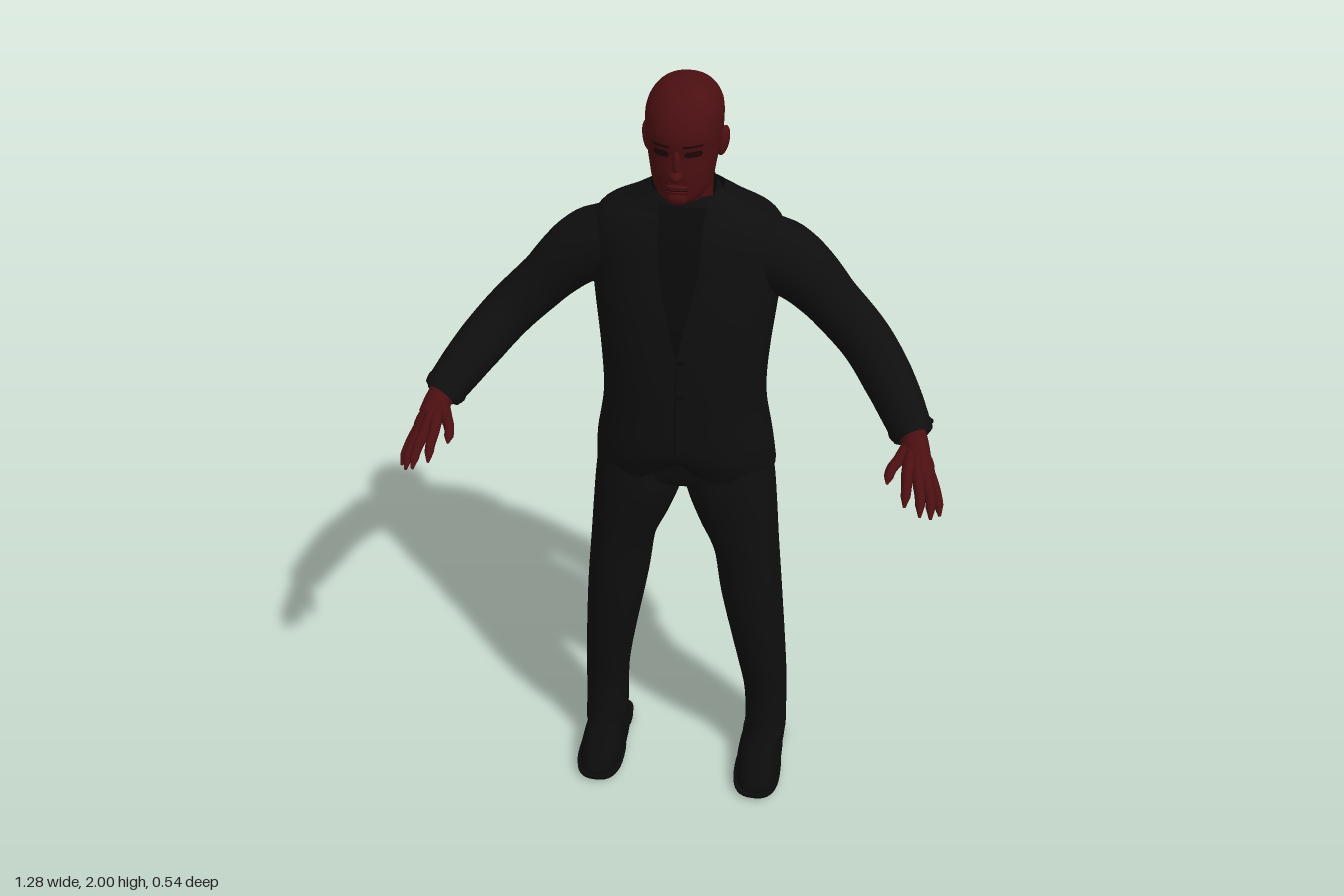
import * as THREE from 'three';

const mat = (name, color, side = THREE.DoubleSide) => {
  const m = new THREE.MeshStandardMaterial({ color, side });
  m.name = name;
  return m;
};

// Smooth extra rings between the given ones. Ring: [y, halfWidth, zFront, zBack, xCentre]
function sample(rings, steps = 5) {
  const out = [], last = rings.length - 1;
  for (let i = 0; i < last; i++) {
    const [a, b, c, d] = [Math.max(i - 1, 0), i, i + 1, Math.min(i + 2, last)].map(k => rings[k]);
    for (let s = 0; s < steps; s++) {
      const t = s / steps;
      out.push([0, 1, 2, 3, 4].map(k => {
        const [p, q, r, w] = [a, b, c, d].map(v => v[k] || 0);
        return q + 0.5 * t * (r - p + t * (2 * p - 5 * q + 4 * r - w + t * (3 * (q - r) + w - p)));
      }));
    }
  }
  out.push([0, 1, 2, 3, 4].map(k => rings[last][k] || 0));
  return out;
}

// Skin over stacked horizontal superellipses, listed from bottom to top
function loft(rings, n = 2.4, caps = true, tweak = null, seg = 36) {
  const pos = [], idx = [], R = rings.length;
  const pw = v => Math.sign(v) * Math.abs(v) ** (2 / n);
  for (const [y, hx, zf, zb, cx = 0] of rings) for (let j = 0; j < seg; j++) {
    const a = j / seg * Math.PI * 2, c = Math.cos(a), s = Math.sin(a);
    const p = new THREE.Vector3(cx + hx * pw(c), y, (zf + zb) / 2 + (zf - zb) / 2 * pw(s));
    if (tweak) tweak(p, s);
    pos.push(p.x, p.y, p.z);
  }
  for (let i = 0; i < R - 1; i++) for (let j = 0; j < seg; j++) {
    const a = i * seg + j, b = i * seg + (j + 1) % seg;
    idx.push(a, a + seg, b, b, a + seg, b + seg);
  }
  if (caps) for (const i of [0, R - 1]) {
    const [y, , zf, zb, cx = 0] = rings[i], c = pos.length / 3;
    pos.push(cx, y, (zf + zb) / 2);
    for (let j = 0; j < seg; j++) {
      const a = i * seg + j, b = i * seg + (j + 1) % seg;
      idx.push(c, ...(i ? [b, a] : [a, b]));
    }
  }
  return finish(pos, idx);
}

function finish(pos, idx) {
  const g = new THREE.BufferGeometry();
  g.setAttribute('position', new THREE.Float32BufferAttribute(pos, 3));
  g.setIndex(idx);
  g.computeVertexNormals();
  return g;
}

// Front surface depth of a loft at x, y
function frontZ(rings, x, y, n) {
  let i = rings.findIndex(r => r[0] >= y);
  i = Math.max(i, 1);
  const a = rings[i - 1], b = rings[i], t = (y - a[0]) / (b[0] - a[0]);
  const [, hx, zf, zb] = a.map((v, k) => v + (b[k] - v) * t);
  return (zf + zb) / 2 + (zf - zb) / 2 * Math.max(0, 1 - Math.abs(x / hx) ** n) ** (1 / n);
}

// Thin cloth or face detail laid on a front surface. Row: [y, x0, x1]
function strip(rings, n, rows, off, s = 1, cols = 6, sub = 6) {
  const pos = [], idx = [], N = (rows.length - 1) * sub;
  for (let i = 0; i <= N; i++) {
    const k = Math.min(Math.floor(i / sub), rows.length - 2), t = i / sub - k;
    const [y, x0, x1] = rows[k].map((v, q) => v + (rows[k + 1][q] - v) * t);
    for (let j = 0; j <= cols; j++) {
      const x = s * (x0 + (x1 - x0) * j / cols);
      pos.push(x, y, frontZ(rings, x, y, n) + off);
    }
  }
  for (let i = 0; i < N; i++) for (let j = 0; j < cols; j++) {
    const a = i * (cols + 1) + j, b = a + cols + 1;
    idx.push(...(s > 0 ? [a, b, a + 1, a + 1, b, b + 1] : [a, a + 1, b, a + 1, b + 1, b]));
  }
  return finish(pos, idx);
}

// Tube whose radius follows a list along its length
function limb(points, radii, s, steps = 24, seg = 16) {
  const curve = new THREE.CatmullRomCurve3(points.map(([x, y, z]) => new THREE.Vector3(s * x, y, z)));
  const g = new THREE.TubeGeometry(curve, steps, 1, seg), p = g.attributes.position;
  const v = new THREE.Vector3();
  for (let i = 0; i <= steps; i++) {
    const f = i / steps * (radii.length - 1), k = Math.min(Math.floor(f), radii.length - 2);
    const r = radii[k] + (radii[k + 1] - radii[k]) * (f - k), c = curve.getPointAt(i / steps);
    for (let j = 0; j <= seg; j++) {
      const q = i * (seg + 1) + j;
      v.fromBufferAttribute(p, q).sub(c).multiplyScalar(r).add(c);
      p.setXYZ(q, v.x, v.y, v.z);
    }
  }
  return g;
}

export function createModel() {
  const model = new THREE.Group();
  const skin = mat('skin', 0x4a0f11), shade = mat('skin shadow', 0x1e0607);
  const suit = mat('suit cloth', 0x0e0e0e), dark = mat('shirt and tie', 0x0a0a0b);
  const leather = mat('shoe leather', 0x0b0b0b);
  const add = (name, geo, m) => {
    const mesh = new THREE.Mesh(geo, m);
    mesh.name = name;
    model.add(mesh);
    return mesh;
  };
  const ball = (name, m, p, sc) => {
    const b = add(name, new THREE.SphereGeometry(1, 20, 14), m);
    b.position.set(...p);
    b.scale.set(...sc);
    return b;
  };

  // Head and neck
  const head = sample([[1.742, .03, .015, -.06], [1.755, .05, .03, -.11], [1.78, .066, .034, -.142],
    [1.82, .074, .038, -.16], [1.86, .081, .036, -.18], [1.9, .085, .04, -.19], [1.94, .083, .026, -.188],
    [1.97, .068, .002, -.17], [1.99, .043, -.03, -.138], [2, .004, -.078, -.09]]);
  add('head', loft(head, 2.15), skin);
  add('neck', loft(sample([[1.64, .065, -.03, -.16], [1.71, .06, -.045, -.15], [1.8, .064, -.04, -.148]])), skin);
  ball('nose bridge', skin, [0, 1.845, .038], [.009, .032, .014]);
  ball('nose tip', skin, [0, 1.822, .046], [.015, .012, .019]);
  ball('chin', skin, [0, 1.762, .022], [.024, .017, .016]);
  for (const y of [1.792, 1.781]) ball('lip', skin, [0, y, .032], [.024, .006, .01]);
  add('mouth line', strip(head, 2.15, [[1.785, -.024, .024], [1.788, -.024, .024]], .008), shade);

  // Jacket body, with the hem cut away at the front
  const coat = sample([[.99, .225, .035, -.265], [1.08, .216, .062, -.25], [1.2, .197, .062, -.242],
    [1.32, .201, .056, -.255], [1.46, .216, .038, -.267], [1.56, .226, .015, -.268], [1.62, .226, 0, -.258],
    [1.665, .2, -.018, -.243], [1.695, .14, -.035, -.222], [1.73, .084, -.05, -.19]]);
  add('jacket', loft(coat, 2.4, false, (p, s) => {
    if (s > 0 && p.y < 1.1) p.y += (1.1 - p.y) * .6 * Math.max(0, 1 - Math.abs(p.x) / .12);
  }, 48), suit);
  const on = (name, rows, off, m, s = 1) => add(name, strip(coat, 2.4, rows, off, s), m);
  on('shirt front', [[1.37, -.003, .003], [1.56, -.045, .045], [1.71, -.055, .055]], .003, dark);
  on('tie', [[1.38, -.004, .004], [1.44, -.02, .02], [1.65, -.011, .011], [1.66, -.018, .018], [1.695, -.022, .022]], .007, dark);
  on('jacket seam', [[1.06, -.002, .002], [1.37, -.002, .002]], .003, dark);
  on('breast pocket', [[1.475, .085, .145], [1.492, .085, .145]], .004, suit);
  add('back vent', new THREE.BoxGeometry(.006, .16, .006), dark).position.set(0, 1.07, -.254);
  for (const y of [1.36, 1.27]) ball('button', dark, [.012, y, frontZ(coat, .012, y, 2.4) + .003], [.008, .008, .004]);

  // Collar, dropping towards the front
  add('collar', loft(sample([[1.71, .092, -.035, -.205], [1.74, .08, -.04, -.186], [1.765, .068, -.045, -.172]]),
    2.1, false, (p, s) => { p.y -= .03 * (1 + s); }), suit);

  // Trouser seat
  add('trouser seat', loft(sample([[.955, .1, -.03, -.17], [.99, .19, .015, -.22], [1.12, .19, .03, -.225]]), 2.5), suit);

  for (const s of [1, -1]) {
    const side = s > 0 ? 'left ' : 'right ';
    // Face details
    add(side + 'eye', strip(head, 2.15, [[1.862, .02, .05], [1.87, .016, .054], [1.876, .022, .05]], .003, s), shade);
    add(side + 'brow', strip(head, 2.15, [[1.886, .014, .058], [1.891, .016, .052]], .005, s), shade);
    const ear = ball(side + 'ear', skin, [s * .084, 1.855, -.085], [.012, .034, .02]);
    ear.rotation.set(-.2, s * -.3, s * -.15);

    // Lapels and pocket flaps
    on(side + 'lapel', [[1.37, .002, .008], [1.5, .03, .085], [1.575, .045, .115], [1.58, .046, .095],
      [1.69, .052, .085]], .009, suit, s);
    on(side + 'pocket flap', [[1.08, .105, .18], [1.12, .1, .175]], .006, suit, s);

    // Sleeve and cuff
    add(side + 'sleeve', limb([[.15, 1.59, -.12], [.255, 1.54, -.122], [.355, 1.445, -.115], [.43, 1.375, -.085],
      [.495, 1.31, -.01], [.555, 1.245, .09]], [.082, .088, .076, .066, .064, .062, .06, .055, .048], s, 36, 24), suit);
    add(side + 'cuff', limb([[.54, 1.261, .065], [.55, 1.25, .082], [.558, 1.241, .096]], [.046, .053, .05, .036], s, 8, 24), suit);
    ball(side + 'sleeve button', dark, [s * .592, 1.262, .055], [.007, .007, .007]);

    // Hand
    add(side + 'wrist', limb([[.535, 1.265, .05], [.56, 1.235, .105], [.572, 1.21, .14]], [.032, .032, .03], s, 8), skin);
    const fingers = {
      index: [[.55, 1.205, .185], [.551, 1.185, .225], [.55, 1.158, .257]],
      middle: [[.573, 1.198, .19], [.583, 1.172, .235], [.586, 1.143, .268]],
      ring: [[.592, 1.185, .177], [.607, 1.152, .215], [.611, 1.122, .245]],
      little: [[.606, 1.172, .158], [.624, 1.137, .187], [.632, 1.108, .21]],
      thumb: [[.53, 1.215, .152], [.513, 1.21, .19], [.507, 1.198, .228]]
    };
    for (const [name, p] of Object.entries(fingers))
      add(side + name + ' finger', limb([[.56, 1.235, .105], ...p], [.02, .02, .017, .014, .013, .012, .011, .003], s, 21, 10), skin);
    const palm = ball(side + 'palm', skin, [s * .576, 1.203, .15], [.038, .02, .05]);
    palm.rotation.set(.55, s * .25, s * -.5);

    // Trouser leg
    const leg = sample([[.08, .057, -.025, -.215, .227], [.14, .056, -.037, -.222, .226], [.25, .058, -.036, -.218, .221],
      [.4, .066, -.006, -.218, .204], [.6, .078, .016, -.206, .178], [.75, .083, .02, -.21, .16],
      [.85, .1, .025, -.222, .135], [.95, .112, .03, -.23, .114], [1.05, .105, .022, -.22, .108]]);
    leg.forEach(r => { r[4] *= s; });
    add(side + 'trouser leg', loft(leg, 2.3), suit);

    // Shoe
    const x = s * .221;
    add(side + 'shoe', loft(sample([[.015, .06, .1, -.2, x], [.035, .061, .1, -.203, x], [.058, .056, .075, -.2, x],
      [.078, .05, .03, -.195, x], [.1, .045, -.02, -.19, x], [.14, .042, -.05, -.185, x]]), 2.5), leather);
    add(side + 'sole', loft([[.006, .061, .1, -.095, x], [.01, .064, .106, -.1, x], [.024, .064, .106, -.1, x]], 2.6), leather);
    add(side + 'heel', loft([[0, .057, -.105, -.205, x], [.03, .059, -.1, -.207, x]], 3), leather);
  }
  return model;
}
